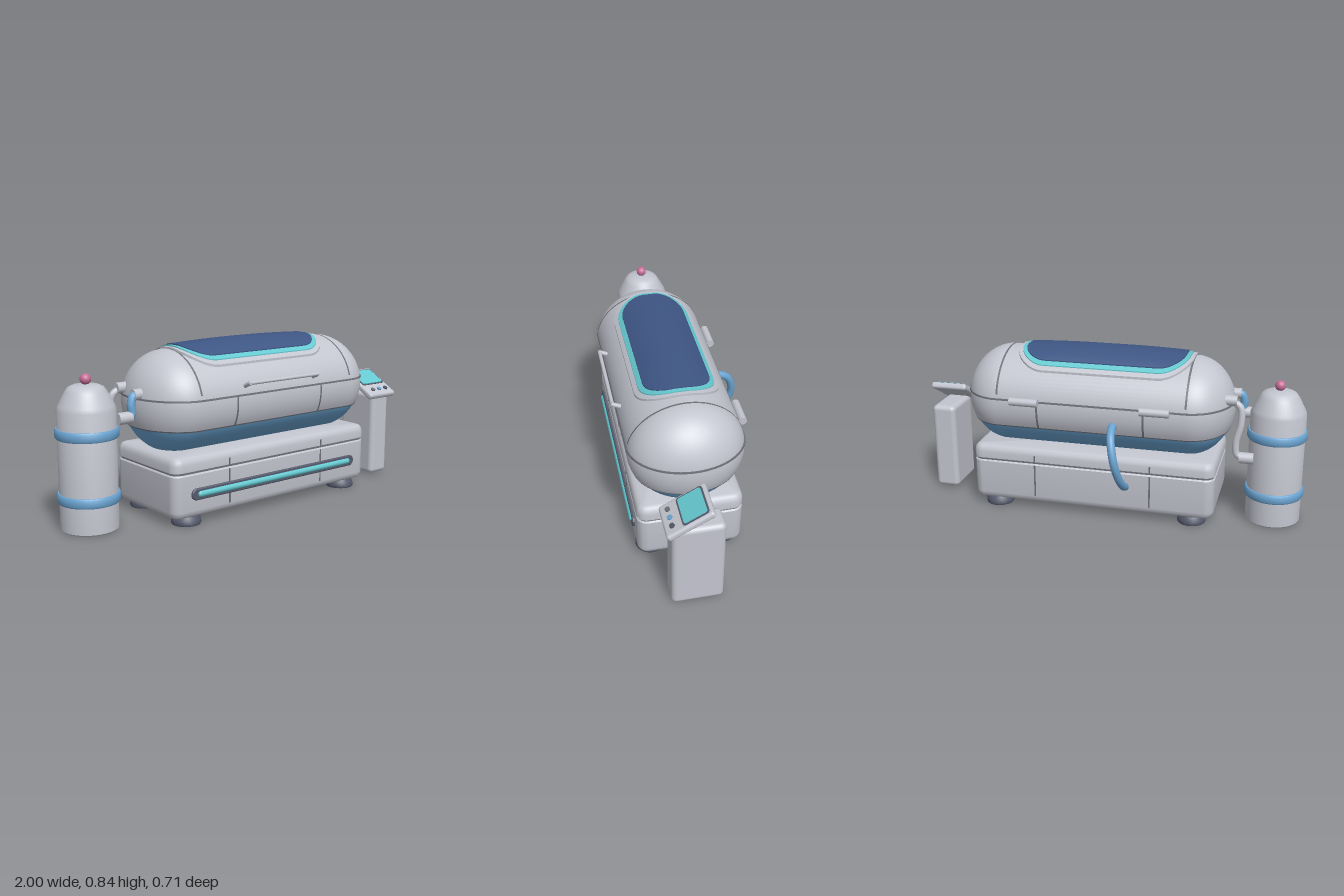
import * as THREE from 'three';
import { toCreasedNormals } from 'three/addons/utils/BufferGeometryUtils.js';
import { RoundedBoxGeometry } from 'three/addons/geometries/RoundedBoxGeometry.js';

const paint = (name, color) => {
  const m = new THREE.MeshStandardMaterial({ color });
  m.name = name;
  return m;
};

// Pod: an ellipsoid stretched along x
const POD = { x: 0.058, y: 0.56, z: 0.05, half: 0.475, rx: 0.22, ry: 0.25, rz: 0.275 };
const V = (x, y, z) => new THREE.Vector3(x, y, z);

// Skin closed rings of equal point count, ordered from bottom to top
function loft(rings, crease = 0.6) {
  const n = rings[0].length, pos = [], idx = [];
  rings.forEach(r => r.forEach(p => pos.push(p.x, p.y, p.z)));
  for (let i = 0; i < rings.length - 1; i++) {
    for (let j = 0; j < n; j++) {
      const a = i * n + j, b = i * n + (j + 1) % n;
      idx.push(a, a + n, b, b, a + n, b + n);
    }
  }
  const g = new THREE.BufferGeometry();
  g.setAttribute('position', new THREE.Float32BufferAttribute(pos, 3));
  g.setIndex(idx);
  return toCreasedNormals(g, crease);
}

// Rounded rectangle in plan, as [x, z] pairs
function outline(hx, hz, r, steps = 10) {
  const pts = [];
  for (let c = 0; c < 4; c++) {
    const sx = c === 0 || c === 3 ? 1 : -1, sz = c < 2 ? 1 : -1;
    for (let k = 0; k <= steps; k++) {
      const a = (c + k / steps) * Math.PI / 2;
      pts.push([sx * (hx - r) + r * Math.cos(a), sz * (hz - r) + r * Math.sin(a)]);
    }
  }
  return pts;
}

// Closed slab from [inset, y] steps
function slab(cx, cz, hx, hz, r, steps) {
  const rings = steps.map(([i, y]) =>
    outline(hx - i, hz - i, Math.max(r - i, 0.005)).map(([x, z]) => V(cx + x, y, cz + z)));
  const cap = ring => ring.map(p => V(cx, p.y, cz));
  return loft([cap(rings[0]), ...rings, cap(rings[rings.length - 1])]);
}

// Horizontal section of the pod at height y, scaled in plan by s
function podRing(y, s = 1) {
  const t = (y - POD.y) / POD.ry, rho = s * Math.sqrt(Math.max(0, 1 - t * t)), ring = [];
  for (let j = 0; j < 64; j++) {
    const a = (j + 0.5) / 64 * Math.PI * 2, c = Math.cos(a);
    ring.push(V(POD.x + Math.sign(c) * POD.half + POD.rx * rho * c, y, POD.z + POD.rz * rho * Math.sin(a)));
  }
  return ring;
}

// Curved plate lying on top of the pod
function podPlate(cx, hx, hz, r, lift, bulge) {
  const base = outline(hx, hz, r);
  const ring = (t, up) => base.map(([x, z]) =>
    V(cx + x * t, POD.y + POD.ry * Math.sqrt(1 - (z * t / POD.rz) ** 2) + up, POD.z + z * t));
  const rings = [ring(1, -0.01)];
  for (let k = 10; k >= 0; k--) rings.push(ring(k / 10, lift + bulge * (1 - (k / 10) ** 2)));
  return loft(rings);
}

export function createModel() {
  const root = new THREE.Group();
  root.name = 'sleepPodStation';
  const body = paint('paleGrey', 0xc3c5cf), blue = paint('hoseBlue', 0x6ca6d4);
  const glass = paint('navyGlass', 0x3e5684), teal = paint('glowTeal', 0x66c9d0);
  const dark = paint('darkRubber', 0x555a6c), seam = paint('seamGrey', 0x707279);
  const pink = paint('pinkLight', 0xc66f98);
  seam.side = THREE.DoubleSide;

  const add = (name, geo, mat, x = 0, y = 0, z = 0, parent = root) => {
    const m = new THREE.Mesh(geo, mat);
    m.name = name;
    m.position.set(x, y, z);
    parent.add(m);
    return m;
  };
  const rod = (name, r, len, mat, x, y, z) =>
    add(name, new THREE.CylinderGeometry(r, r, len, 24).rotateZ(Math.PI / 2), mat, x, y, z);
  const pipe = (name, pts, r, mat) =>
    add(name, new THREE.TubeGeometry(new THREE.CatmullRomCurve3(pts.map(p => V(...p))), 40, r, 14), mat);

  // Pod shell and underside
  const upper = [podRing(0.45, 0.94)], lower = [];
  const a0 = Math.asin((0.45 - POD.y) / POD.ry);
  for (let i = 0; i <= 24; i++) upper.push(podRing(POD.y + POD.ry * Math.sin(a0 + (Math.PI / 2 - a0) * i / 24)));
  for (let i = 0; i <= 12; i++) lower.push(podRing(POD.y - POD.ry * Math.cos((Math.PI / 2 + a0 + 0.04) * i / 12), 0.97));
  add('podShell', loft(upper), body);
  add('podUnderside', loft(lower), blue);

  // Pod seams
  const band = (name, y, h, s) =>
    add(name, loft([podRing(y - h, 0.95), podRing(y - h, s), podRing(y + h, s), podRing(y + h, 0.95)]), seam);
  band('lidSeam', 0.597, 0.004, 1.02);
  band('shellRim', 0.451, 0.003, 1.006);
  const arc = (name, x, start, length) => {
    const g = new THREE.CylinderGeometry(1, 1, 0.01, 40, 1, true, start, length).rotateZ(Math.PI / 2);
    add(name, g.scale(1, POD.ry * 1.008, POD.rz * 1.008), seam, x, POD.y, POD.z);
  };
  for (const x of [-0.427, 0.53]) arc('lidPanelSeam', x, 0.24, Math.PI - 0.48);
  for (const x of [-0.22, 0.32]) {
    arc('frontShellSeam', x, -0.45, 0.59);
    arc('backShellSeam', x, Math.PI - 0.14, 0.59);
  }

  // Window with its two frames
  add('windowSurround', podPlate(0.022, 0.452, 0.2, 0.16, 0.011, 0), body);
  add('windowGlowFrame', podPlate(0.022, 0.432, 0.18, 0.145, 0.016, 0), teal);
  add('window', podPlate(0.022, 0.411, 0.158, 0.125, 0.021, 0.01), glass);

  // Lid handle and hinges
  rod('handleBar', 0.009, 0.45, body, 0.055, 0.655, 0.347);
  for (const x of [-0.165, 0.275]) {
    const post = add('handlePost', new THREE.CylinderGeometry(0.011, 0.011, 0.07, 16), body, x, 0.643, 0.32);
    post.rotation.x = 1.15;
  }
  rod('leftHinge', 0.02, 0.145, body, 0.38, 0.598, -0.243);
  rod('rightHinge', 0.02, 0.145, body, -0.28, 0.598, -0.243);

  // Base cabinet
  const bx = 0.0525, bz = 0.05, hx = 0.6275, hz = 0.255;
  add('baseCabinet', slab(bx, bz, hx, hz, 0.05,
    [[0.03, 0.04], [0.014, 0.047], [0.004, 0.06], [0, 0.077], [0, 0.248], [0.006, 0.255]]), body);
  add('baseGap', slab(bx, bz, hx - 0.007, hz - 0.007, 0.045, [[0, 0.25], [0, 0.266]]), seam);
  add('baseTop', slab(bx, bz, hx, hz, 0.05,
    [[0.006, 0.261], [0, 0.267], [0, 0.3], [0.004, 0.317], [0.014, 0.33], [0.032, 0.336]]), body);
  for (const x of [-0.254, 0.345]) for (const z of [0.305, -0.205]) {
    add('cabinetSeam', new THREE.BoxGeometry(0.008, 0.17, 0.004), seam, x, 0.163, z);
    add('topSeam', new THREE.BoxGeometry(0.008, 0.033, 0.004), seam, x, 0.284, z);
  }

  // Feet
  const foot = [[0, 0], [0.07, 0], [0.073, 0.006], [0.071, 0.025], [0.058, 0.043], [0, 0.045]];
  const footGeo = toCreasedNormals(new THREE.LatheGeometry(foot.map(p => new THREE.Vector2(...p)), 28), 0.6);
  for (const x of [-0.46, 0.565]) for (const z of [0.23, -0.13]) add('foot', footGeo, dark, x, 0, z);

  // Front light strip
  const strip = slab(0, 0, 0.532, 0.028, 0.0275, [[0, 0], [0, 0.01], [0.004, 0.014]]).rotateX(Math.PI / 2);
  add('lightStripHousing', strip, dark, 0.05, 0.156, 0.302);
  const glow = new THREE.CapsuleGeometry(0.016, 0.97, 8, 16).rotateZ(Math.PI / 2);
  add('lightStrip', glow, teal, 0.05, 0.156, 0.311);

  // Gas tank
  const tx = -0.853, tz = 0.01;
  const tank = [[0, 0], [0.132, 0], [0.137, 0.006], [0.137, 0.565], [0.13, 0.585], [0.095, 0.65],
    [0.082, 0.667], [0.06, 0.677], [0, 0.682]];
  add('tank', toCreasedNormals(new THREE.LatheGeometry(tank.map(p => new THREE.Vector2(...p)), 40), 0.6),
    body, tx, 0, tz);
  const hoop = [[0.13, -0.023], [0.143, -0.023], [0.148, -0.015], [0.148, 0.015], [0.143, 0.023], [0.13, 0.023]];
  for (const y of [0.155, 0.458]) {
    const g = new THREE.LatheGeometry(hoop.map(p => new THREE.Vector2(...p)), 40);
    add('tankBand', toCreasedNormals(g, 0.9), blue, tx, y, tz);
  }
  add('tankLight', new THREE.SphereGeometry(0.026, 20, 14), pink, tx, 0.703, tz);

  // Pipes between tank and pod
  rod('supplyTankFitting', 0.028, 0.07, body, -0.715, 0.52, 0.11);
  rod('supplyPodFitting', 0.026, 0.06, body, -0.63, 0.62, 0.1);
  pipe('supplyHose', [[-0.7, 0.52, 0.11], [-0.675, 0.53, 0.11], [-0.675, 0.58, 0.108], [-0.66, 0.615, 0.104],
    [-0.62, 0.62, 0.1]], 0.02, blue);
  rod('returnTankFitting', 0.028, 0.07, body, -0.715, 0.345, -0.08);
  rod('returnPodFitting', 0.026, 0.06, body, -0.625, 0.63, -0.055);
  pipe('returnPipe', [[-0.71, 0.345, -0.08], [-0.668, 0.36, -0.08], [-0.66, 0.42, -0.078], [-0.68, 0.52, -0.07],
    [-0.672, 0.6, -0.06], [-0.62, 0.63, -0.055]], 0.017, body);

  // Rear hose
  pipe('rearHose', [[-0.07, 0.505, -0.19], [-0.07, 0.5, -0.24], [-0.08, 0.465, -0.305], [-0.1, 0.37, -0.337],
    [-0.118, 0.27, -0.307], [-0.13, 0.205, -0.25], [-0.13, 0.18, -0.2]], 0.02, blue);

  // Control terminal
  add('terminalStand', new RoundedBoxGeometry(0.127, 0.462, 0.245, 4, 0.025), body, 0.908, 0.236, 0.08);
  const head = new THREE.Group();
  head.name = 'terminalHead';
  head.position.set(0.897, 0.509, 0.122);
  head.rotation.x = 0.505;
  root.add(head);
  add('terminalPanel', new RoundedBoxGeometry(0.197, 0.035, 0.238, 4, 0.014), body, 0, 0, 0, head);
  add('screenFrame', slab(0, 0, 0.084, 0.066, 0.015, [[0, 0], [0, 0.004]]), dark, 0, 0.0155, -0.037, head);
  add('screen', slab(0, 0, 0.076, 0.058, 0.012, [[0, 0], [0, 0.005]]), teal, 0, 0.0175, -0.037, head);
  [seam, blue, dark].forEach((mat, i) =>
    add('button', new THREE.CylinderGeometry(0.012, 0.012, 0.012, 18), mat, (i - 1) * 0.05, 0.02, 0.075, head));

  return root;
}
